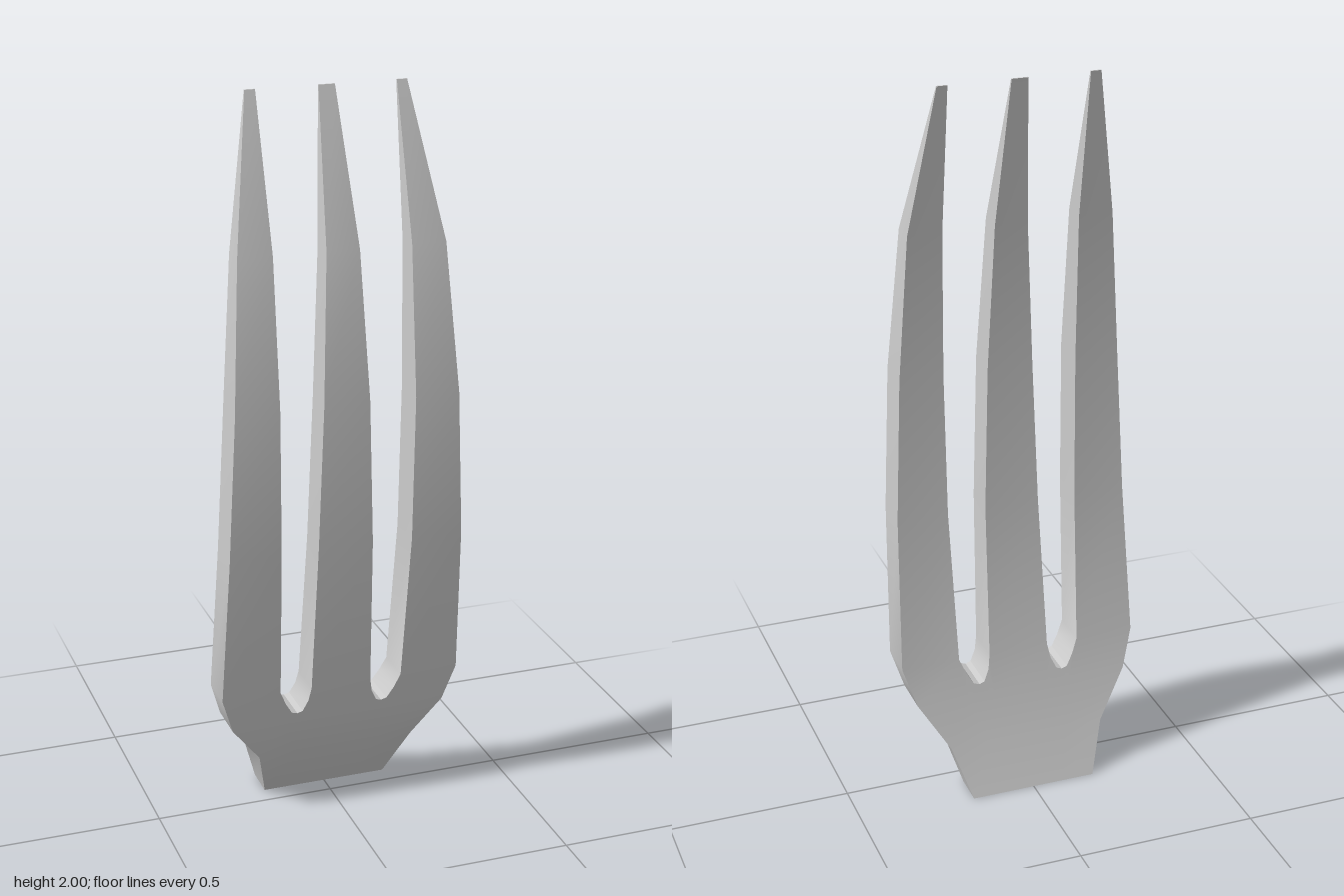
import * as THREE from 'three';
import { toCreasedNormals } from 'three/addons/utils/BufferGeometryUtils.js';

// Side profile of the bent head: height, lift of the front edge, front z, back z
const PROFILE = [
  [0, 0, -0.055, -0.147], [0.137, 0.025, 0.045, -0.09], [0.27, 0, 0.071, -0.05],
  [0.375, 0, 0.09, -0.022], [0.8, 0, 0.138, 0.03], [1.2, 0, 0.146, 0.042],
  [1.6, 0, 0.1, 0.031], [2, 0, -0.027, -0.032],
];

function profileAt(y) {
  let i = 0;
  while (i < PROFILE.length - 2 && y > PROFILE[i + 1][0]) i++;
  const a = PROFILE[i], b = PROFILE[i + 1];
  const t = (y - a[0]) / (b[0] - a[0]);
  return a.map((v, k) => v + (b[k] - v) * t);
}

function createHeadGeometry() {
  const positions = [];

  // A flat outline point becomes a front and a back point on the bent profile
  const front = ([x, y]) => {
    const [, lift, zf] = profileAt(y);
    const thinner = Math.abs(x) < 0.08 && y > 0.7 && y < 1.5 ? 0.012 : 0;
    return [x, y + lift, zf - thinner];
  };
  const back = ([x, y]) => [x, y, profileAt(y)[3]];
  const quad = (a, b, c, d) => [a, b, c, a, c, d].forEach((p) => positions.push(...p));

  // Wall through the thickness; outside lies to the right of a -> b
  const wall = (a, b) => quad(front(a), back(a), back(b), front(b));

  // Front, back and both side walls over rows of outline points
  function slab(rows) {
    for (let r = 0; r < rows.length - 1; r++) {
      const lo = rows[r], hi = rows[r + 1], last = lo.length - 1;
      for (let c = 0; c < last; c++) {
        quad(front(lo[c]), front(lo[c + 1]), front(hi[c + 1]), front(hi[c]));
        quad(back(lo[c + 1]), back(lo[c]), back(hi[c]), back(hi[c + 1]));
      }
      wall(lo[last], hi[last]);
      wall(hi[0], lo[0]);
    }
  }

  // Upper rim of the palm, dipping into the two rounded gaps
  const half = [
    [0.085, 0.375], [0.092, 0.335], [0.107, 0.303], [0.122, 0.298], [0.138, 0.303],
    [0.157, 0.335], [0.174, 0.375], [0.338, 0.375],
  ];
  const rim = [...half.map(([x, y]) => [-x, y]).reverse(), ...half];
  const palmRow = (y, w) => rim.map(([x]) => [(x * w) / 0.338, y]);
  const palm = [palmRow(0, 0.177), palmRow(0.137, 0.222), palmRow(0.27, 0.305), rim];
  slab(palm);
  for (let c = 0; c < rim.length - 1; c++) {
    wall(palm[0][c], palm[0][c + 1]);
    if (rim[c][1] < 0.375 || rim[c + 1][1] < 0.375) wall(rim[c + 1], rim[c]);
  }

  // Tines: height, left edge, right edge
  const middle = [
    [0.375, -0.085, 0.085], [0.8, -0.076, 0.076], [1.2, -0.063, 0.063],
    [1.6, -0.045, 0.045], [2, -0.022, 0.022],
  ];
  const outer = [
    [0.375, 0.174, 0.338], [0.8, 0.183, 0.325], [1.2, 0.186, 0.307],
    [1.6, 0.187, 0.281], [2, 0.189, 0.217],
  ];
  const mirrored = outer.map(([y, l, r]) => [y, -r, -l]);
  for (const tine of [middle, outer, mirrored]) {
    const rows = tine.map(([y, l, r]) => [[l, y], [r, y]]);
    slab(rows);
    const tip = rows[rows.length - 1];
    wall(tip[1], tip[0]);
  }

  const geometry = new THREE.BufferGeometry();
  geometry.setAttribute('position', new THREE.Float32BufferAttribute(positions, 3));
  return toCreasedNormals(geometry, THREE.MathUtils.degToRad(32));
}

export function createModel() {
  const group = new THREE.Group();
  group.name = 'forkHead';
  const material = new THREE.MeshStandardMaterial({ color: 0xcccccc });
  const head = new THREE.Mesh(createHeadGeometry(), material);
  head.name = 'palmAndTines';
  group.add(head);
  return group;
}
